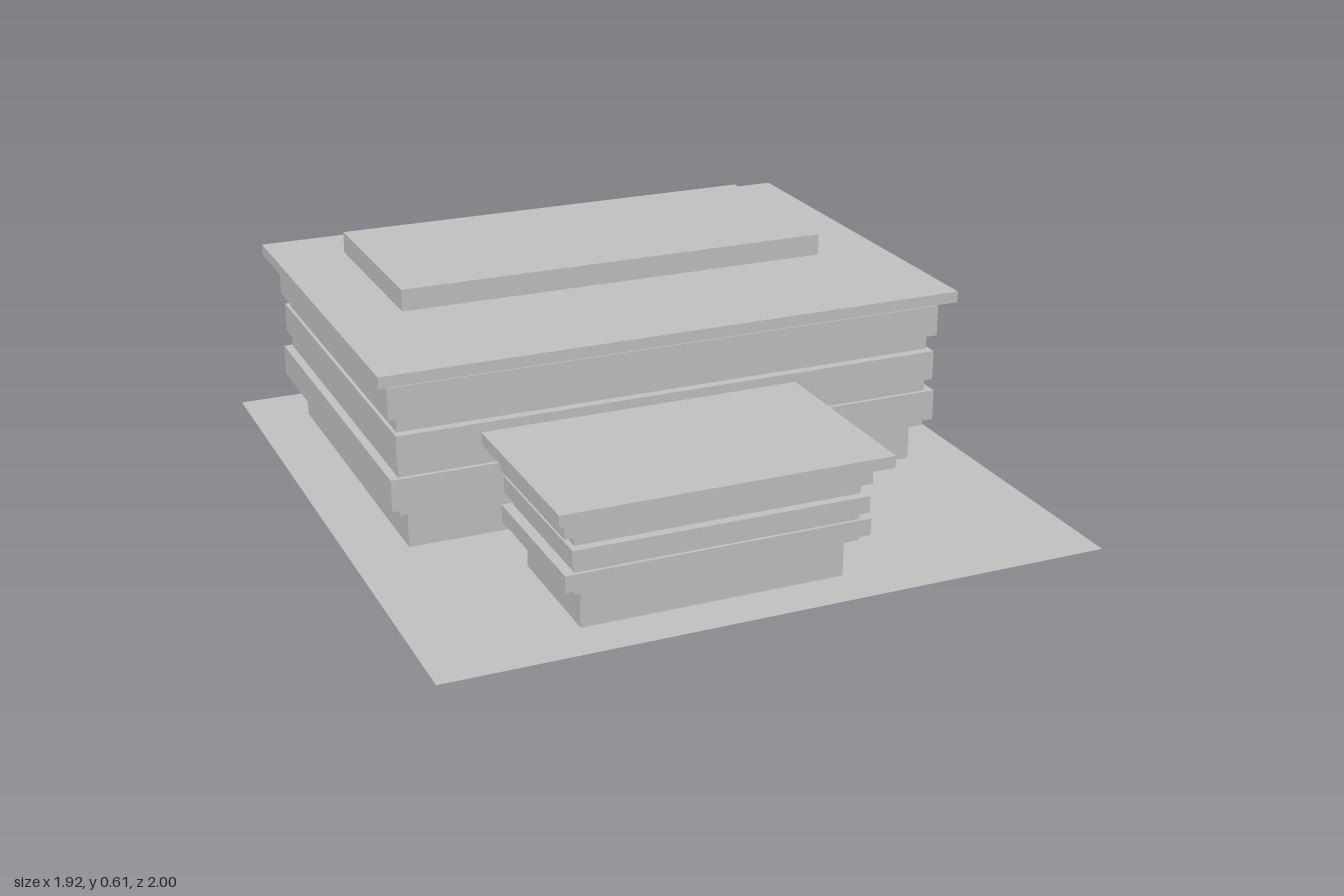
import * as THREE from 'three';

export function createModel() {
  const model = new THREE.Group();
  const grey = new THREE.MeshStandardMaterial({ color: 0xc0c0c0, side: THREE.DoubleSide });
  grey.name = 'concrete grey';

  // Box given by its limits on each axis
  function slab(parent, name, [x0, x1], [y0, y1], [z0, z1]) {
    const mesh = new THREE.Mesh(new THREE.BoxGeometry(x1 - x0, y1 - y0, z1 - z0), grey);
    mesh.position.set((x0 + x1) / 2, (y0 + y1) / 2, (z0 + z1) / 2);
    mesh.name = name;
    parent.add(mesh);
  }

  // Stack of slabs: [name, x range, y range, z range]
  function building(name, parts) {
    const group = new THREE.Group();
    group.name = name;
    for (const part of parts) slab(group, ...part);
    model.add(group);
  }

  // Flat site
  const site = new THREE.Mesh(new THREE.PlaneGeometry(1.925, 2).rotateX(-Math.PI / 2), grey);
  site.name = 'sitePlane';
  model.add(site);

  // Large block at the back
  building('mainBuilding', [
    ['groundFloor', [-0.79, 0.785], [0, 0.113], [-0.822, 0.237]],
    ['wallCore', [-0.82, 0.815], [0.113, 0.515], [-0.851, 0.263]],
    ['lowerBand', [-0.845, 0.842], [0.132, 0.225], [-0.862, 0.275]],
    ['middleBand', [-0.83, 0.825], [0.27, 0.358], [-0.88, 0.291]],
    ['upperBand', [-0.845, 0.842], [0.4, 0.493], [-0.862, 0.275]],
    ['roofSlab', [-0.882, 0.876], [0.515, 0.548], [-0.916, 0.325]],
    ['roofPlantRoom', [-0.668, 0.663], [0.548, 0.613], [-0.74, -0.146]],
  ]);

  // Small block at the front
  building('annexBuilding', [
    ['groundFloor', [-0.53, 0.227], [0, 0.113], [0.475, 0.863]],
    ['wallCore', [-0.557, 0.255], [0.113, 0.337], [0.448, 0.893]],
    ['lowerBand', [-0.586, 0.285], [0.127, 0.175], [0.434, 0.903]],
    ['middleBand', [-0.572, 0.27], [0.202, 0.25], [0.419, 0.92]],
    ['upperBand', [-0.586, 0.285], [0.276, 0.324], [0.434, 0.903]],
    ['roofSlab', [-0.62, 0.32], [0.337, 0.371], [0.382, 0.956]],
  ]);

  return model;
}
